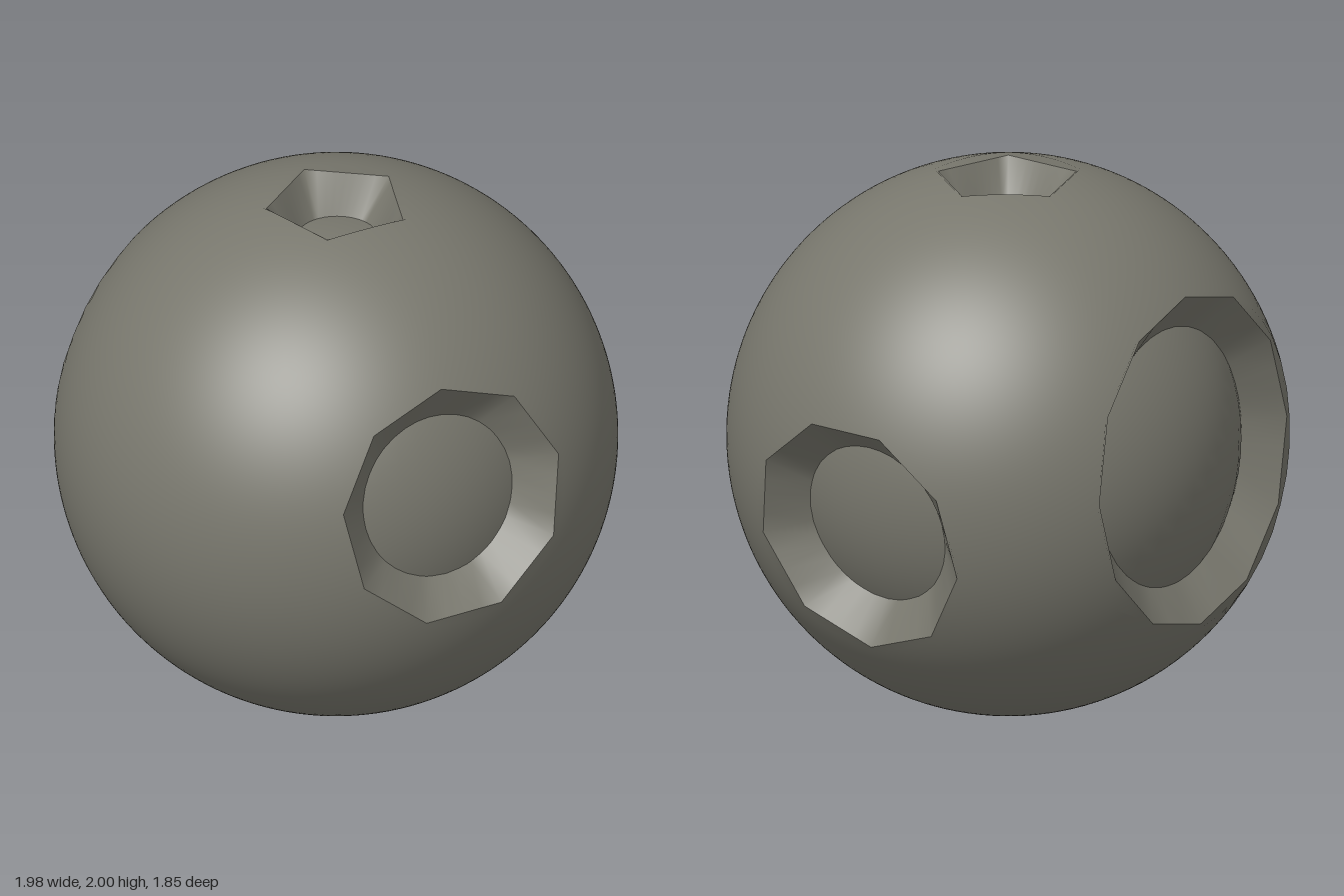
import * as THREE from 'three';

const R = 1.01; // outer shell
const CORE = 0.835; // inner ball seen through the openings
const stone = new THREE.MeshStandardMaterial({ color: 0x78776d });
stone.name = 'warm grey stone';

// dir: axis of the opening, corner: direction of one rim corner, rim and floor: outer and inner radius
const openings = [
  { name: 'frontOpening', dir: [-0.29, 0.197, 0.937], corner: [0, 1, 0], sides: 9, rim: 0.445, floor: 0.3 },
  { name: 'leftOpening', dir: [0.984, -0.174, 0.01], corner: [0, -1, 0], sides: 9, rim: 0.445, floor: 0.3 },
  { name: 'backOpening', dir: [-0.065, 0.055, -0.996], corner: [0, 1, 0], sides: 12, rim: 0.61, floor: 0.47 },
  { name: 'topOpening', dir: [0.01, 1, 0], corner: [1, 0, 0], sides: 5, rim: 0.26, floor: 0.145 },
  { name: 'lowerBackOpening', dir: [-0.68, -0.5, -0.5], corner: [0, 1, 0], sides: 14, rim: 0.165, floor: 0.13 },
  { name: 'lowerFrontOpening', dir: [0.14, -0.85, 0.475], corner: [0, 1, 0], sides: 14, rim: 0.145, floor: 0.11 },
];

// Skin a list of closed rings, ordered from the outside inwards
function skin(rings) {
  const n = rings[0].length, index = [];
  for (let i = 0; i < rings.length - 1; i++) {
    for (let j = 0; j < n; j++) {
      const k = (j + 1) % n;
      const a = i * n + j, b = i * n + k, c = a + n, d = b + n;
      index.push(a, b, d, a, d, c);
    }
  }
  const g = new THREE.BufferGeometry().setFromPoints(rings.flat());
  g.setIndex(index);
  g.computeVertexNormals();
  return g;
}

// Give a geometry centred on the origin the smooth normals of a sphere
function sphereNormals(g) {
  const p = new THREE.Vector3(), normals = [];
  for (let i = 0; i < g.attributes.position.count; i++) {
    normals.push(...p.fromBufferAttribute(g.attributes.position, i).normalize().toArray());
  }
  g.setAttribute('normal', new THREE.Float32BufferAttribute(normals, 3));
  return g;
}

function addMesh(parent, name, geometry) {
  const m = new THREE.Mesh(geometry, stone);
  m.name = name;
  parent.add(m);
}

function makeOpening(o) {
  const group = new THREE.Group();
  group.name = o.name;
  const d = new THREE.Vector3(...o.dir).normalize();
  const u = new THREE.Vector3(...o.corner);
  u.addScaledVector(d, -u.dot(d)).normalize();
  const v = d.clone().cross(u);
  const n = o.sides * Math.ceil(36 / o.sides);
  const step = (2 * Math.PI) / o.sides;

  // A ring about the axis, its radius a function of the angle
  const ring = (radiusAt, height) => Array.from({ length: n }, (_, j) => {
    const t = (j / n) * 2 * Math.PI, r = radiusAt(t);
    return new THREE.Vector3().addScaledVector(d, height)
      .addScaledVector(u, r * Math.cos(t)).addScaledVector(v, r * Math.sin(t));
  });

  // Flat polygonal rim
  const rim = ring(
    (t) => o.rim * Math.cos(step / 2) / Math.cos((t % step) - step / 2),
    Math.sqrt(1 - o.rim * o.rim));

  // Collar: the shell's surface between the rim and a wider circle
  const wide = Math.asin(o.rim / R) + 0.12;
  const outer = ring(() => R * Math.sin(wide), R * Math.cos(wide));
  const collar = [0, 0.25, 0.5, 0.75, 0.9].map((f) =>
    outer.map((p, j) => p.clone().lerp(rim[j], f).setLength(R)));
  addMesh(group, 'collar', sphereNormals(skin([...collar, rim])));

  // Sloping wall down to the core
  const foot = ring(() => o.floor, Math.sqrt(CORE * CORE - o.floor * o.floor) - 0.004);
  addMesh(group, 'wall', skin([rim, foot]));
  return group;
}

// Shell with the triangles over the openings left out
function makeShell() {
  const pos = new THREE.IcosahedronGeometry(R, 26).attributes.position;
  const holes = openings.map((o) => ({
    d: new THREE.Vector3(...o.dir).normalize(),
    limit: R * Math.cos(Math.asin(o.rim / R) + 0.015),
  }));
  const kept = [];
  for (let i = 0; i < pos.count; i += 3) {
    const tri = [0, 1, 2].map((k) => new THREE.Vector3().fromBufferAttribute(pos, i + k));
    if (tri.some((p) => holes.some((h) => p.dot(h.d) > h.limit))) continue;
    kept.push(...tri);
  }
  return sphereNormals(new THREE.BufferGeometry().setFromPoints(kept));
}

export function createModel() {
  const ball = new THREE.Group();
  ball.name = 'hollowBall';
  addMesh(ball, 'shell', makeShell());
  addMesh(ball, 'core', new THREE.SphereGeometry(CORE, 64, 40));
  for (const o of openings) ball.add(makeOpening(o));
  ball.position.set(0.018, R, -0.085);
  const model = new THREE.Group();
  model.name = 'model';
  model.add(ball);
  return model;
}
